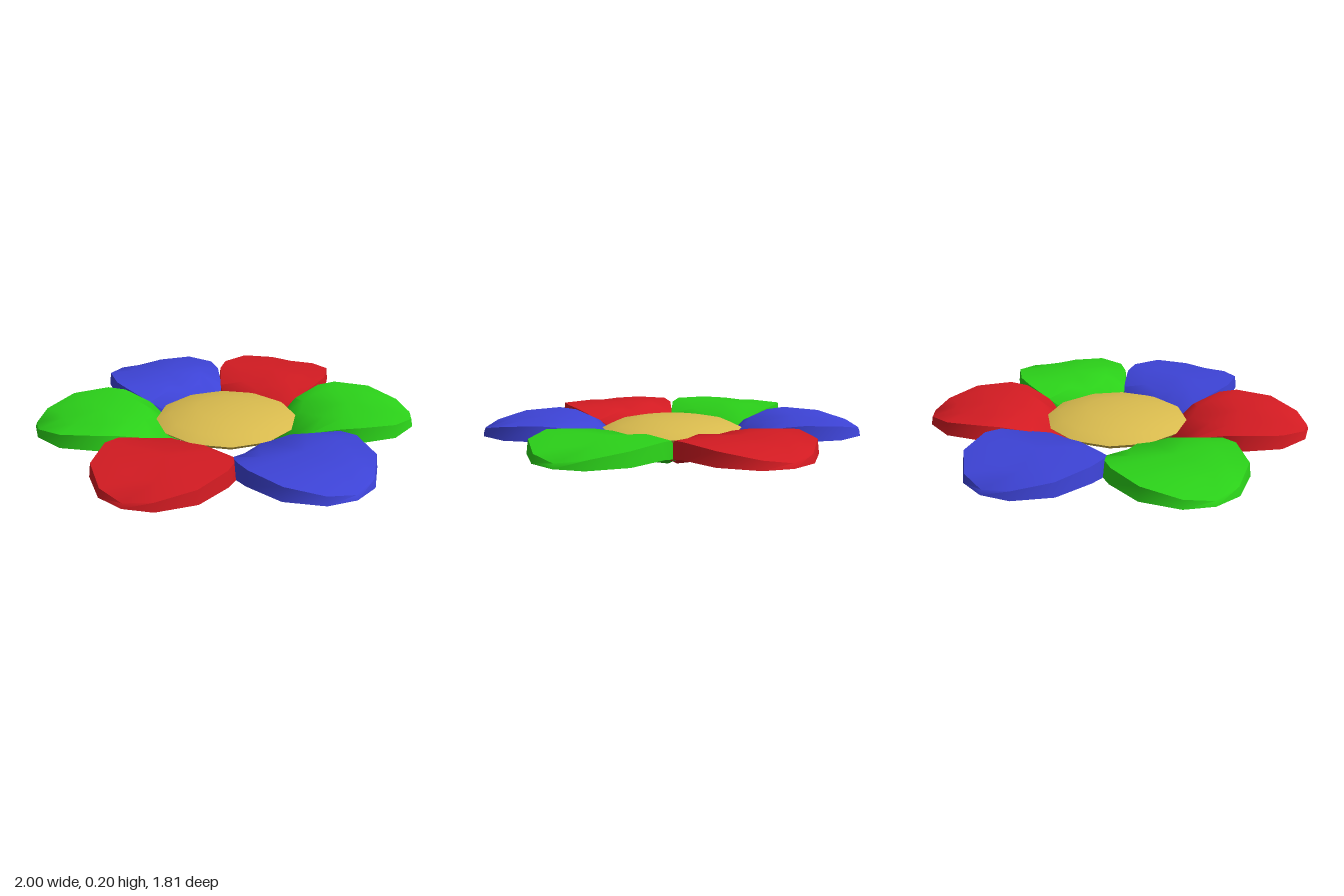
import * as THREE from 'three';
import { toCreasedNormals } from 'three/addons/utils/BufferGeometryUtils.js';

// Half outline of a petal pointing along +x: [x, z, lower rim y, upper rim y, crown y]
const HALF = [
  [1.0, 0, 0.113, 0.135, 0.182],
  [0.965, 0.14, 0.113, 0.155, 0.19],
  [0.835, 0.28, 0.117, 0.185, 0.2],
  [0.645, 0.33, 0.118, 0.196, 0.2],
  [0.545, 0.315, 0.1, 0.185, 0.2],
  [0.4, 0.245, 0.06, 0.135, 0.19],
  [0.295, 0.145, 0.012, 0.06, 0.175],
  [0.25, 0, 0, 0.035, 0.155],
];
const MIDDLE = 0.64;

function petalGeometry() {
  // Mirror the half outline into a full loop
  const mirrored = HALF.slice(1, -1).reverse().map(([x, z, ...y]) => [x, -z, ...y]);
  const outline = [...HALF, ...mirrored];
  const n = outline.length;
  const ring = (scale, column) => outline.map((p) =>
    [MIDDLE + (p[0] - MIDDLE) * scale, p[column], p[1] * scale]);
  const rings = [ring(1, 2), ring(0.975, 3), ring(0.62, 4)];

  const positions = rings.flat(2);
  const bottom = n * rings.length;
  const top = bottom + 1;
  positions.push(MIDDLE, 0.098, 0, MIDDLE, 0.198, 0);

  const index = [];
  for (let i = 0; i < n; i++) {
    const j = (i + 1) % n;
    index.push(i, j, bottom);
    for (let r = 0; r < rings.length - 1; r++) {
      const lo = r * n, up = lo + n;
      index.push(up + i, lo + j, lo + i, up + i, up + j, lo + j);
    }
    const crown = (rings.length - 1) * n;
    index.push(top, crown + j, crown + i);
  }
  const geometry = new THREE.BufferGeometry();
  geometry.setAttribute('position', new THREE.Float32BufferAttribute(positions, 3));
  geometry.setIndex(index);
  return toCreasedNormals(geometry, 1.0);
}

export function createModel() {
  const model = new THREE.Group();
  model.name = 'flower';

  // Six petals, opposite ones sharing a colour
  const materials = [0x2bd119, 0xd31b22, 0x3d43d6].map((color) =>
    new THREE.MeshStandardMaterial({ color }));
  const geometry = petalGeometry();
  for (let i = 0; i < 6; i++) {
    const petal = new THREE.Mesh(geometry, materials[i % 3]);
    petal.name = `petal${i + 1}`;
    petal.rotation.y = (i * Math.PI) / 3;
    model.add(petal);
  }

  // Shallow domed centre set among the inner ends of the petals
  const profile = [[0, 0.11], [0.34, 0.11], [0.37, 0.135], [0.3, 0.165], [0.16, 0.19], [0, 0.198]]
    .map(([x, y]) => new THREE.Vector2(x, y));
  const centre = new THREE.Mesh(
    toCreasedNormals(new THREE.LatheGeometry(profile, 12), 0.8),
    new THREE.MeshStandardMaterial({ color: 0xd9bb4e }));
  centre.name = 'flowerCentre';
  model.add(centre);

  return model;
}
